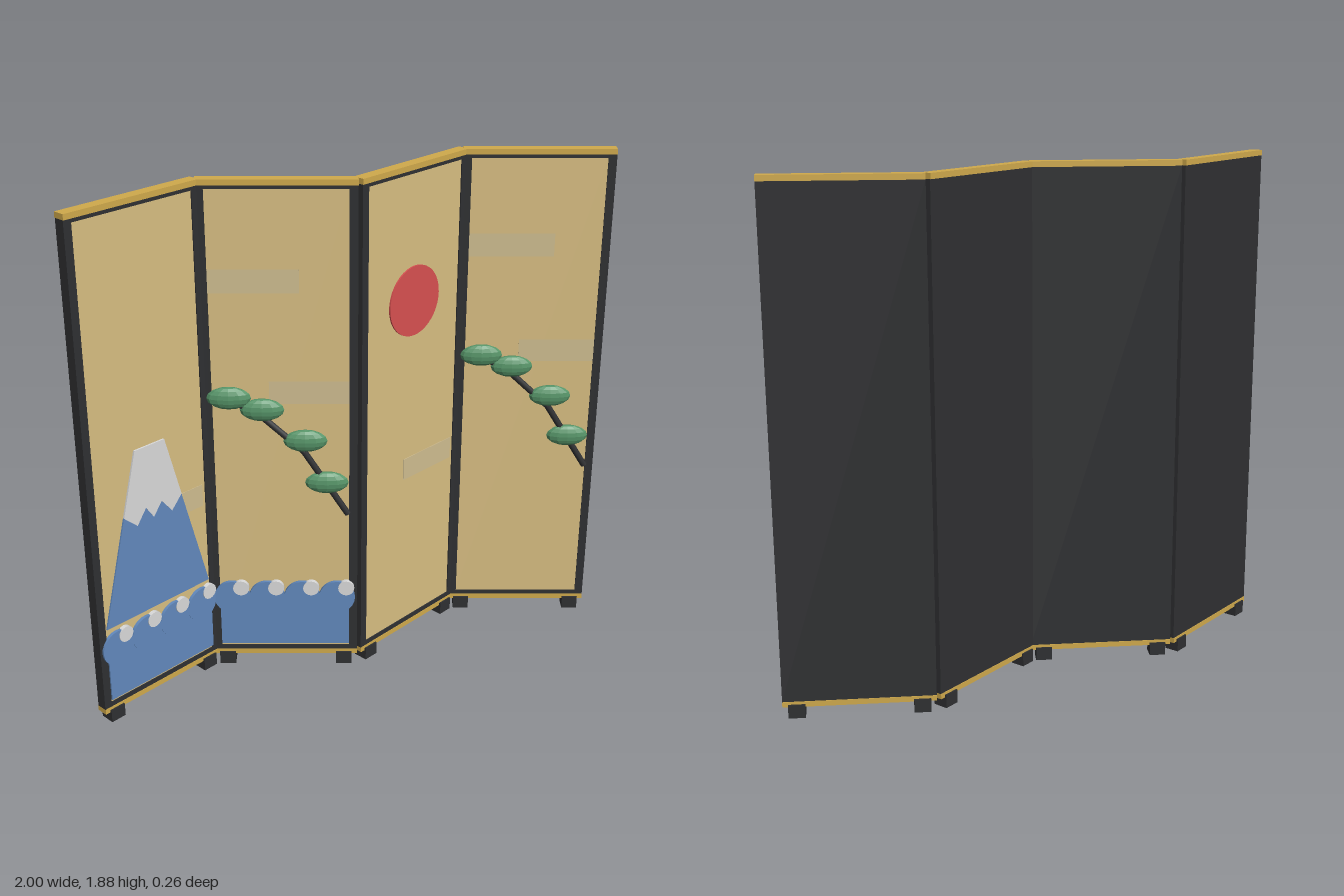
import * as THREE from 'three';

const mat = (name, color) => Object.assign(new THREE.MeshStandardMaterial({ color }), { name });

export function createModel() {
  const lacquer = mat('black lacquer', 0x2f3032);
  const gold = mat('gold trim', 0xd0aa4c);
  const paper = mat('gold paper', 0xd8be82);
  const cloud = mat('pale cloud', 0xcfbd90);
  const red = mat('sun red', 0xd85050);
  const blue = mat('water blue', 0x6289bd);
  const white = mat('snow white', 0xdadada);
  const green = mat('pine green', 0x569468);
  green.flatShading = true;

  const model = new THREE.Group();
  model.name = 'foldingScreen';

  const add = (parent, name, geometry, material, x = 0, y = 0, z = 0) => {
    const mesh = new THREE.Mesh(geometry, material);
    mesh.name = name;
    mesh.position.set(x, y, z);
    parent.add(mesh);
    return mesh;
  };
  // box given by its extents
  const box = (parent, name, material, x0, x1, y0, y1, z0, z1) =>
    add(parent, name, new THREE.BoxGeometry(x1 - x0, y1 - y0, z1 - z0), material,
      (x0 + x1) / 2, (y0 + y1) / 2, (z0 + z1) / 2);
  // disc facing the front, from z0 to z1
  const disc = (parent, name, material, r, x, y, z0, z1, sides = 24) =>
    add(parent, name, new THREE.CylinderGeometry(r, r, z1 - z0, sides).rotateX(Math.PI / 2),
      material, x, y, (z0 + z1) / 2);
  // thin plate cut to an outline
  const plate = (parent, name, material, points, z, depth) =>
    add(parent, name, new THREE.ExtrudeGeometry(
      new THREE.Shape(points.map(([x, y]) => new THREE.Vector2(x, y))),
      { depth, bevelEnabled: false }), material, 0, 0, z);

  const H = 0.27;       // half width of a panel
  const FACE = 0.016;   // front of the paper

  function buildPanel(name) {
    const p = new THREE.Group();
    p.name = name;
    box(p, 'backBoard', lacquer, -H, H, 0.06, 1.865, -0.02, 0.01);
    box(p, 'paperFace', paper, -0.24, 0.24, 0.078, 1.852, 0.01, FACE);
    for (const s of [-1, 1]) {
      box(p, 'sidePost', lacquer, s * 0.255 - 0.015, s * 0.255 + 0.015, 0.06, 1.865, 0.01, 0.02);
      box(p, 'foot', lacquer, s * 0.22 - 0.03, s * 0.22 + 0.03, 0, 0.05, -0.028, 0.028);
    }
    for (const [y0, y1] of [[0.06, 0.078], [1.852, 1.865]])
      box(p, 'crossRail', lacquer, -0.24, 0.24, y0, y1, 0.01, 0.02);
    box(p, 'topTrim', gold, -H, H, 1.865, 1.885, -0.022, 0.022);
    box(p, 'bottomTrim', gold, -H, H, 0.04, 0.06, -0.022, 0.022);
    return p;
  }

  const addCloud = (p, x0, x1, y) =>
    box(p, 'cloudBand', cloud, x0, x1, y, y + 0.085, FACE, FACE + 0.002);

  function addMountain(p) {
    const snowLine = [[-0.128, 0.78], [-0.073, 0.73], [-0.032, 0.785], [0, 0.737],
      [0.038, 0.785], [0.082, 0.73], [0.128, 0.78]];
    plate(p, 'mountain', blue, [[-0.235, 0.38], [0.235, 0.38], ...[...snowLine].reverse()],
      FACE, 0.006);
    plate(p, 'snowCap', white, [...snowLine, [0.065, 1.015], [-0.065, 1.015]], FACE, 0.007);
  }

  function addWaves(p) {
    box(p, 'sea', blue, -0.24, 0.24, 0.09, 0.3, FACE, 0.026);
    for (let i = 0; i < 4; i++) {
      const x = -0.195 + 0.13 * i;
      disc(p, 'waveCrest', blue, 0.067, x, 0.293, FACE, 0.028);
      disc(p, 'foam', white, 0.03, x + 0.034, 0.334, FACE, 0.032, 16);
    }
  }

  function addPine(p) {
    // branch in straight segments
    const path = [[0.235, 0.65], [0.08, 0.9], [-0.07, 1.04], [-0.18, 1.105]]
      .map(([x, y]) => new THREE.Vector3(x, y, 0.03));
    for (let i = 0; i < path.length - 1; i++) {
      const dir = path[i + 1].clone().sub(path[i]);
      const mid = path[i].clone().add(path[i + 1]).multiplyScalar(0.5);
      const seg = add(p, 'pineBranch', new THREE.CylinderGeometry(0.012, 0.012, dir.length(), 8),
        lacquer, mid.x, mid.y, mid.z);
      seg.quaternion.setFromUnitVectors(new THREE.Vector3(0, 1, 0), dir.normalize());
    }
    // flattened needle clumps
    for (const [x, y] of [[-0.18, 1.11], [-0.065, 1.065], [0.085, 0.945], [0.16, 0.78]])
      add(p, 'pineClump', new THREE.SphereGeometry(1, 12, 8).scale(0.078, 0.042, 0.024),
        green, x, y, 0.034);
  }

  // four panels in a zigzag
  for (let i = 0; i < 4; i++) {
    const p = buildPanel('panel' + (i + 1));
    p.position.x = (i - 1.5) * 0.496;
    p.rotation.y = i % 2 ? -0.405 : 0.405;
    if (i % 2) {
      addCloud(p, -0.24, 0.07, 1.49);
      addCloud(p, -0.04, 0.24, 1.08);
      addPine(p);
    } else {
      addCloud(p, -0.04, 0.228, 0.69);
    }
    if (i === 0) addMountain(p);
    if (i < 2) addWaves(p);
    if (i === 2) disc(p, 'sun', red, 0.13, 0, 1.39, FACE, FACE + 0.006, 40);
    model.add(p);
  }
  return model;
}
